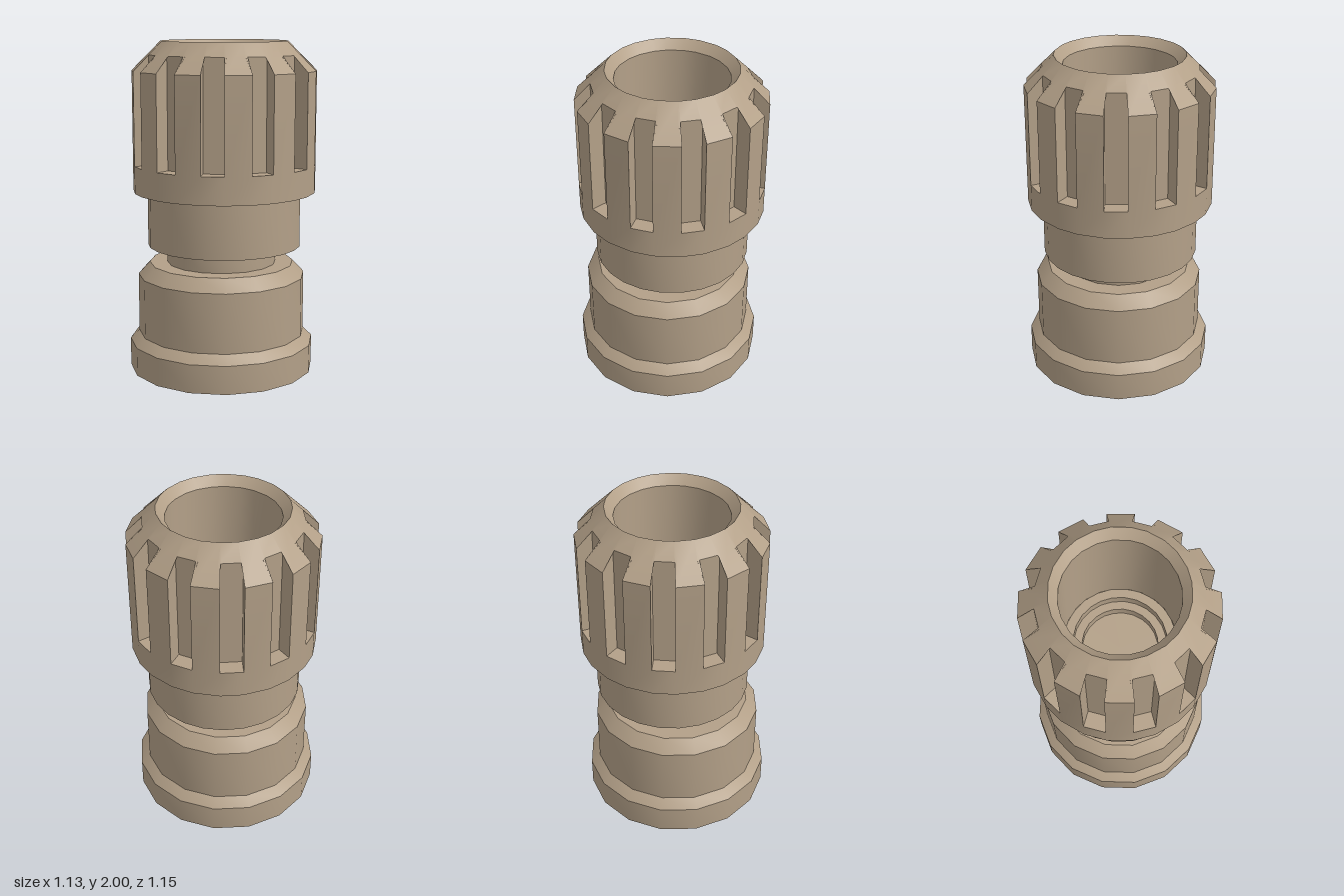
import * as THREE from 'three';
import { toCreasedNormals } from 'three/addons/utils/BufferGeometryUtils.js';

const material = new THREE.MeshStandardMaterial({ color: 0xb3a088, side: THREE.DoubleSide });
const CREASE = 0.5;

// Turned part from [radius, height] pairs, smooth around and sharp at the steps
function turned(name, profile, sides, z) {
  const points = profile.map(([r, y]) => new THREE.Vector2(r, y));
  const geometry = toCreasedNormals(new THREE.LatheGeometry(points, sides).toNonIndexed(), CREASE);
  const mesh = new THREE.Mesh(geometry, material);
  mesh.name = name;
  mesh.position.z = z;
  return mesh;
}

// Skin between stacked closed loops of points
function loft(loops) {
  const positions = [];
  const tri = new THREE.Triangle();
  const add = (a, b, c) => {
    tri.set(a, b, c);
    if (tri.getArea() > 1e-7) for (const p of [a, b, c]) positions.push(p.x, p.y, p.z);
  };
  for (let k = 0; k < loops.length - 1; k++) {
    const low = loops[k], high = loops[k + 1];
    for (let i = 0; i < low.length; i++) {
      const j = (i + 1) % low.length;
      add(low[i], low[j], high[j]);
      add(low[i], high[j], high[i]);
    }
  }
  const geometry = new THREE.BufferGeometry();
  geometry.setAttribute('position', new THREE.Float32BufferAttribute(positions, 3));
  return toCreasedNormals(geometry, CREASE);
}

// Grip cap: twelve parallel-sided grooves cut through the wall and the top chamfer
function grippedCap() {
  const outer = 0.555, floor = 0.46, half = 0.066, grooves = 12;
  const corners = [];
  for (let i = 0; i < grooves; i++) {
    const centre = THREE.MathUtils.degToRad(5 + i * 30);
    const wide = Math.asin(half / outer), deep = Math.asin(half / floor);
    corners.push(
      { r: outer, a: centre - wide, ring: centre - wide, top: 1.825 },
      { r: floor, a: centre - deep, ring: centre - wide, top: 1.92 },
      { r: floor, a: centre + deep, ring: centre + wide, top: 1.92 },
      { r: outer, a: centre + wide, ring: centre + wide, top: 1.825 }
    );
  }
  const at = (r, a, y) => new THREE.Vector3(r * Math.sin(a), y, r * Math.cos(a));
  const circle = (r, y) => corners.map(c => at(r, c.ring, y));
  const mesh = new THREE.Mesh(loft([
    circle(0.46, 1.1),
    circle(outer, 1.1),
    circle(outer, 1.265),
    corners.map(c => at(c.r, c.a, 1.265)),
    corners.map(c => at(c.r, c.a, c.top)),
    circle(0.38, 2),
    circle(0.33, 1.945),
    circle(0.33, 1.3)
  ]), material);
  mesh.name = 'gripCap';
  mesh.position.z = -0.018;
  return mesh;
}

export function createModel() {
  const group = new THREE.Group();
  group.name = 'threadedCoupling';

  // Hollow base, open below, with flared foot and chamfered shoulder
  group.add(turned('baseShell', [
    [0.565, 0], [0.565, 0.172], [0.51, 0.225], [0.51, 0.585], [0.44, 0.66], [0.333, 0.66]
  ], 16, 0.008));

  group.add(turned('neck', [[0.333, 0.66], [0.333, 0.765]], 16, 0.008));

  group.add(turned('collar', [[0, 0.765], [0.467, 0.765], [0.467, 1.1]], 24, -0.018));

  group.add(grippedCap());

  // Stepped seat at the bottom of the bore
  group.add(turned('boreSeat', [
    [0.33, 1.3], [0.275, 1.3], [0.275, 1.24], [0.225, 1.24], [0.225, 1.18], [0, 1.18]
  ], 24, -0.018));

  return group;
}
